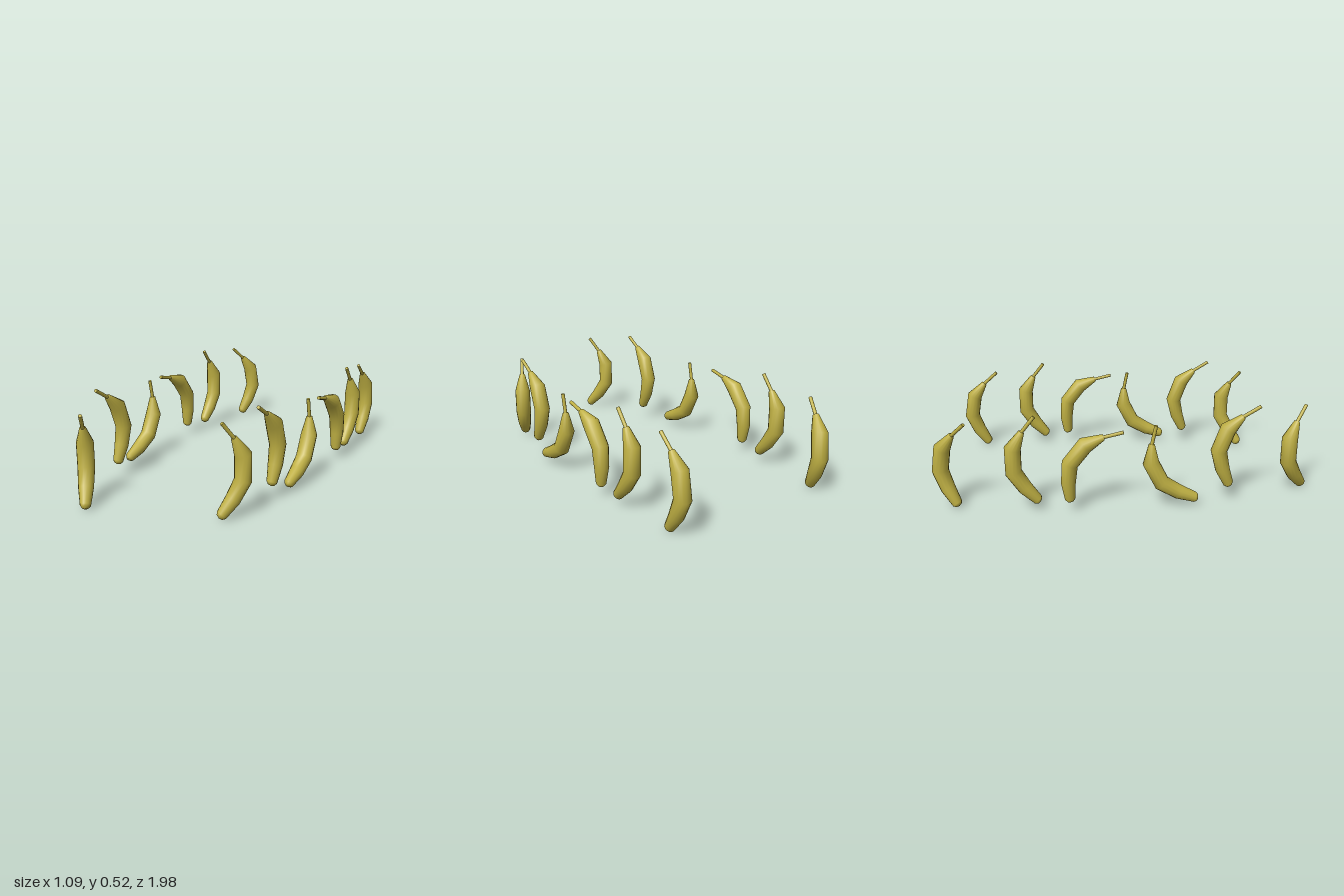
import * as THREE from 'three';

const SIDES = 14;

// Centreline rings from foot to neck: [y, z, radius]; the concave side faces +z
const RINGS = [
  [-0.224, 0.131, 0],
  [-0.221, 0.127, 0.017],
  [-0.213, 0.117, 0.027],
  [-0.147, 0.056, 0.038],
  [-0.060, 0.000, 0.043],
  [0.068, 0.000, 0.043],
  [0.155, 0.048, 0.016],
  [0.158, 0.050, 0],
];
const STEM_BASE = new THREE.Vector3(0, 0.148, 0.043);
const STEM_TIP = new THREE.Vector3(0, 0.235, 0.112);

// Bent, tapering body: rings tilted to follow the centreline
function bodyGeometry() {
  const pos = [], index = [];
  const centres = RINGS.map(([y, z]) => new THREE.Vector3(0, y, z));
  const last = RINGS.length - 1;
  centres.forEach((c, i) => {
    const t = new THREE.Vector3();
    if (i > 0) t.add(c.clone().sub(centres[i - 1]).normalize());
    if (i < last) t.add(centres[i + 1].clone().sub(c).normalize());
    t.normalize();
    const r = RINGS[i][2];
    for (let j = 0; j < SIDES; j++) {
      const a = (j / SIDES) * Math.PI * 2;
      const s = r * Math.sin(a);
      pos.push(r * Math.cos(a), c.y - t.z * s, c.z + t.y * s);
      if (i < last) {
        const k = (j + 1) % SIDES;
        const p = i * SIDES + j, q = i * SIDES + k;
        index.push(p, p + SIDES, q, q, p + SIDES, q + SIDES);
      }
    }
  });
  const g = new THREE.BufferGeometry();
  g.setAttribute('position', new THREE.Float32BufferAttribute(pos, 3));
  g.setIndex(index);
  g.computeVertexNormals();
  return g;
}

// Thin straight stem leaving the neck
function stemGeometry() {
  const dir = STEM_TIP.clone().sub(STEM_BASE);
  const g = new THREE.CylinderGeometry(0.0095, 0.0095, dir.length(), 10);
  g.rotateX(Math.atan2(dir.z, dir.y));
  const mid = STEM_BASE.clone().add(STEM_TIP).multiplyScalar(0.5);
  return g.translate(mid.x, mid.y, mid.z);
}

// Each fruit: [x, y, z, forward pitch in degrees, yaw in degrees]
const RIGHT_ROW = [
  [-0.324, 0.242, 0.873, 0, 35],
  [-0.397, 0.336, 0.505, 20, 0],
  [-0.462, 0.187, 0.158, -27, 0],
  [-0.503, 0.314, -0.246, 38, 0],
  [-0.478, 0.275, -0.567, 0, 0],
  [-0.398, 0.256, -0.940, 10, -25],
];
const LEFT_ROW = [
  [0.426, 0.242, 0.638, 0, -30],
  [0.457, 0.336, 0.365, 20, 0],
  [0.485, 0.187, 0.062, -27, 0],
  [0.498, 0.314, -0.280, 38, 0],
  [0.489, 0.275, -0.574, 0, 0],
  [0.455, 0.256, -0.897, 10, 0],
];

export function createModel() {
  const model = new THREE.Group();
  model.name = 'bananas';
  const material = new THREE.MeshStandardMaterial({ color: 0xbfb043 });
  const body = bodyGeometry(), stem = stemGeometry();

  const addRow = (name, row) => {
    const group = new THREE.Group();
    group.name = name;
    for (const [x, y, z, pitch, yaw] of row) {
      const banana = new THREE.Group();
      banana.name = 'banana';
      for (const [part, geometry] of [['bananaBody', body], ['bananaStem', stem]]) {
        const mesh = new THREE.Mesh(geometry, material);
        mesh.name = part;
        banana.add(mesh);
      }
      banana.position.set(x, y, z);
      banana.rotation.set(THREE.MathUtils.degToRad(pitch), THREE.MathUtils.degToRad(yaw), 0, 'YXZ');
      group.add(banana);
    }
    model.add(group);
  };
  addRow('rightRow', RIGHT_ROW);
  addRow('leftRow', LEFT_ROW);
  return model;
}
